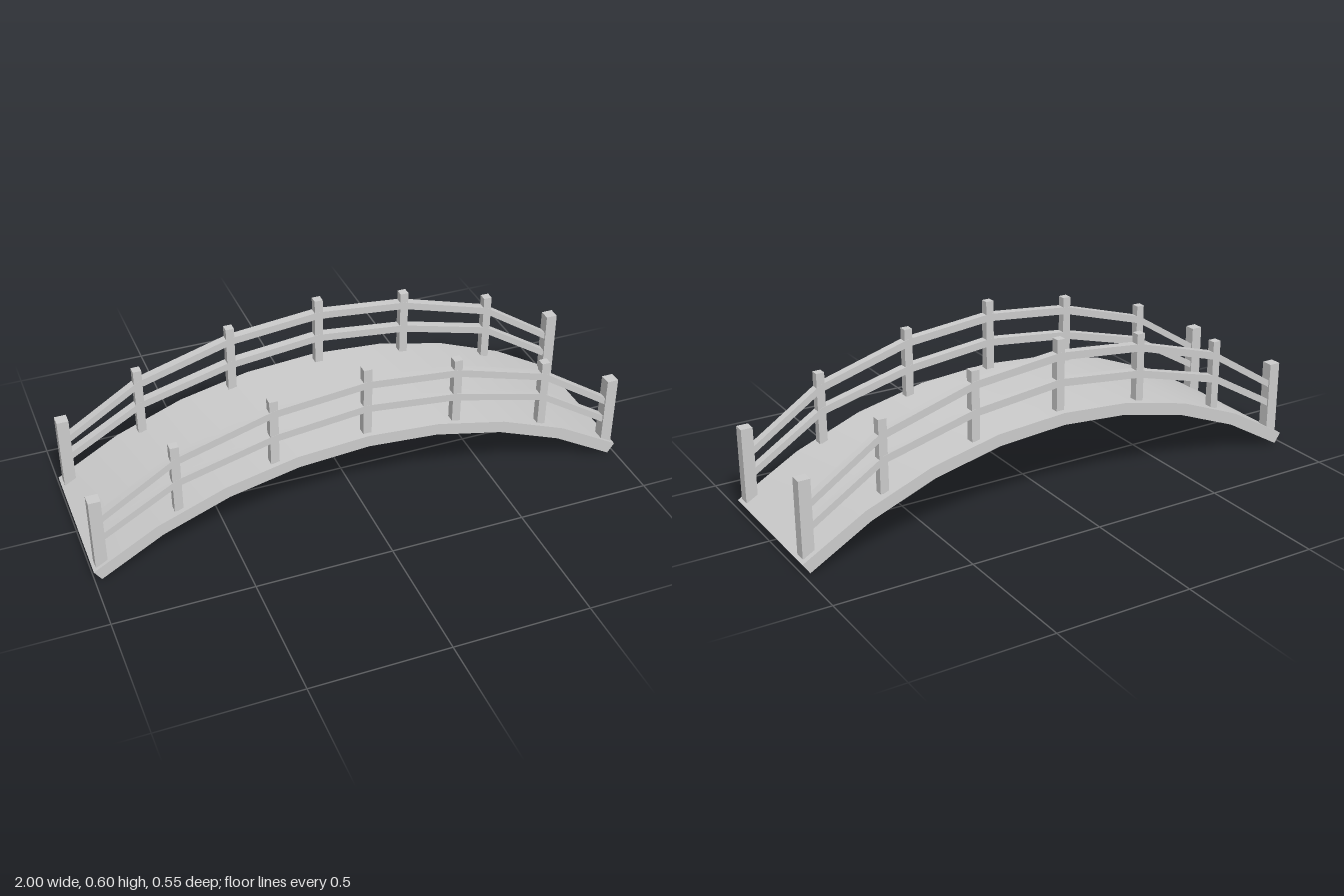
import * as THREE from 'three';
import { toCreasedNormals } from 'three/addons/utils/BufferGeometryUtils.js';

const material = new THREE.MeshStandardMaterial({ color: 0xcccccc });

// Extrude the band between an upper and a lower polyline across z
function band(name, upper, lower, width, z) {
  const shape = new THREE.Shape([...lower, ...upper.slice().reverse()]);
  const geo = new THREE.ExtrudeGeometry(shape, { depth: width, bevelEnabled: false });
  geo.translate(0, 0, z - width / 2);
  const mesh = new THREE.Mesh(toCreasedNormals(geo, 0.35), material);
  mesh.name = name;
  return mesh;
}

function post(name, x, bottom, top, size, z) {
  const mesh = new THREE.Mesh(new THREE.BoxGeometry(size, top - bottom, size), material);
  mesh.position.set(x, (bottom + top) / 2, z);
  mesh.name = name;
  return mesh;
}

// Rail running through the post positions
function rail(name, points, z) {
  const t = 0.014;
  const line = (d) => points.map(([x, y]) => new THREE.Vector2(x, y + d));
  return band(name, line(t), line(-t), 0.032, z);
}

export function createModel() {
  const bridge = new THREE.Group();
  bridge.name = 'archedFootbridge';

  // Deck: eight segments of a circular arc
  const R = 1.79, crown = 0.348, half = Math.asin(1 / R), segments = 8;
  const arc = (r) => Array.from({ length: segments + 1 }, (_, i) => {
    const a = half * (2 * i / segments - 1);
    return new THREE.Vector2(r * Math.sin(a), crown - R + r * Math.cos(a));
  });
  bridge.add(band('deck', arc(R), arc(R - 0.045), 0.552, 0));

  // Railings: one along each edge of the deck
  const xs = [-0.96, -0.685, -0.338, 0, 0.338, 0.685, 0.96];
  const upperY = [0.24, 0.412, 0.514, 0.548, 0.514, 0.412, 0.23];
  const lowerY = [0.165, 0.322, 0.414, 0.451, 0.414, 0.325, 0.15];
  const postBottom = [0.05, 0.205, 0.31, 0.34, 0.31, 0.205, 0.05];
  const postTop = [0.327, 0.47, 0.566, 0.61, 0.566, 0.47, 0.327];

  for (const [side, z] of [['front', 0.242], ['back', -0.234]]) {
    const railing = new THREE.Group();
    railing.name = side + 'Railing';
    xs.forEach((x, i) => {
      const end = i === 0 || i === xs.length - 1;
      railing.add(post(end ? 'endPost' : 'post', end ? Math.sign(x) * 0.968 : x,
        postBottom[i], postTop[i], end ? 0.043 : 0.031, z));
    });
    railing.add(rail('upperRail', xs.map((x, i) => [x, upperY[i]]), z));
    railing.add(rail('lowerRail', xs.map((x, i) => [x, lowerY[i]]), z));
    bridge.add(railing);
  }
  return bridge;
}
